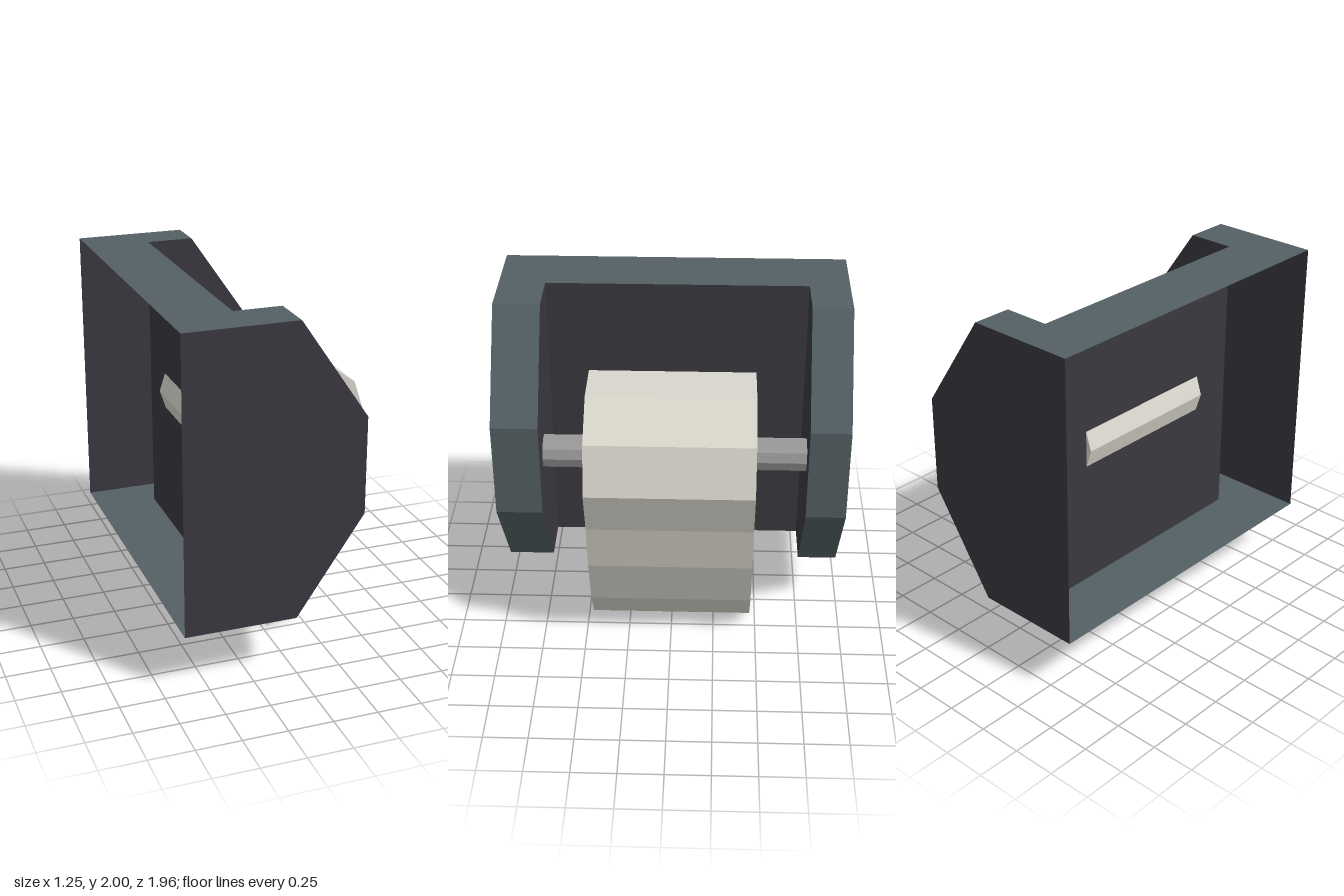
import * as THREE from 'three';

const material = (name, color) => {
  const m = new THREE.MeshStandardMaterial({ color, side: THREE.DoubleSide, flatShading: true });
  m.name = name;
  return m;
};

// Flat bands swept along z: each consecutive pair of profile points becomes one quad
function ribbon(points, z0, z1) {
  const pos = [];
  for (let i = 0; i < points.length - 1; i++) {
    const [ax, ay] = points[i], [bx, by] = points[i + 1];
    pos.push(ax, ay, z0, bx, by, z0, bx, by, z1, ax, ay, z0, bx, by, z1, ax, ay, z1);
  }
  const g = new THREE.BufferGeometry();
  g.setAttribute('position', new THREE.Float32BufferAttribute(pos, 3));
  g.computeVertexNormals();
  return g;
}

const outline = (points) => new THREE.Shape(points.map(([x, y]) => new THREE.Vector2(x, y)));

export function createModel() {
  const group = new THREE.Group();
  const slate = material('slate rim', 0x536064);
  const charcoal = material('charcoal panel', 0x3a383f);
  const paper = material('paper', 0xd9d6cc);
  const metal = material('grey metal', 0x999999);

  const add = (name, geometry, mat, z = 0) => {
    const mesh = new THREE.Mesh(geometry, mat);
    mesh.name = name;
    mesh.position.z = z;
    group.add(mesh);
    return mesh;
  };

  const back = -0.63, wallX = -0.27, bottom = 0.33, top = 2;
  const nose = [[0, bottom], [0.38, 0.89], [0.38, 1.44], [0, top]];
  const rim = [[back, bottom], ...nose, [back, top]];
  const innerSide = [[wallX, bottom], ...nose, [wallX, top]];

  // Hollow side arms: outer panel, inner panel and the rim between them
  for (const [side, outer, inner] of [['left', 0.98, 0.72], ['right', -0.98, -0.755]]) {
    const outerPanel = new THREE.ShapeGeometry(outline(rim));
    const innerPanel = new THREE.ShapeGeometry(outline(innerSide));
    add(side + 'ArmOuterPanel', outerPanel, charcoal, outer);
    add(side + 'ArmInnerPanel', innerPanel, charcoal, inner);
    add(side + 'ArmRim', ribbon(rim, Math.min(outer, inner), Math.max(outer, inner)), slate);
  }

  // Recessed wall with top and bottom ledges, open at the back
  add('backWall', ribbon([[wallX, bottom], [wallX, top]], -0.755, 0.72), charcoal);
  add('bottomLedge', ribbon([[back, bottom], [wallX, bottom]], -0.755, 0.72), slate);
  add('topLedge', ribbon([[wallX, top], [back, top]], -0.755, 0.72), slate);

  // Ten-sided roll whose front runs into the hanging sheet
  const cx = 0.16, cy = 1.165, r = 0.465;
  const rollPoints = [];
  for (let i = -1; i <= 7; i++) {
    const a = (i * Math.PI) / 5;
    rollPoints.push([cx + r * Math.cos(a), cy + r * Math.sin(a)]);
  }
  const sheet = [
    [0.48, 0.725], [0.4, 0.57], [0.32, 0.36], [0.2, 0.17], [-0.005, 0.08],
    [0.035, 0], [0.245, 0.09], [0.365, 0.28], [0.48, 0.6],
  ];
  const roll = new THREE.ExtrudeGeometry(outline([...rollPoints, ...sheet]), {
    depth: 0.93, bevelEnabled: false,
  });
  add('paperRollAndSheet', roll, paper, -0.465);

  // Ten-sided spindle through the roll
  const spindle = new THREE.CylinderGeometry(0.095, 0.095, 1.475, 10, 1, true);
  spindle.rotateY(Math.PI / 2).rotateX(Math.PI / 2);
  add('spindle', spindle, metal, -0.0175).position.set(cx, cy, -0.0175);

  return group;
}
